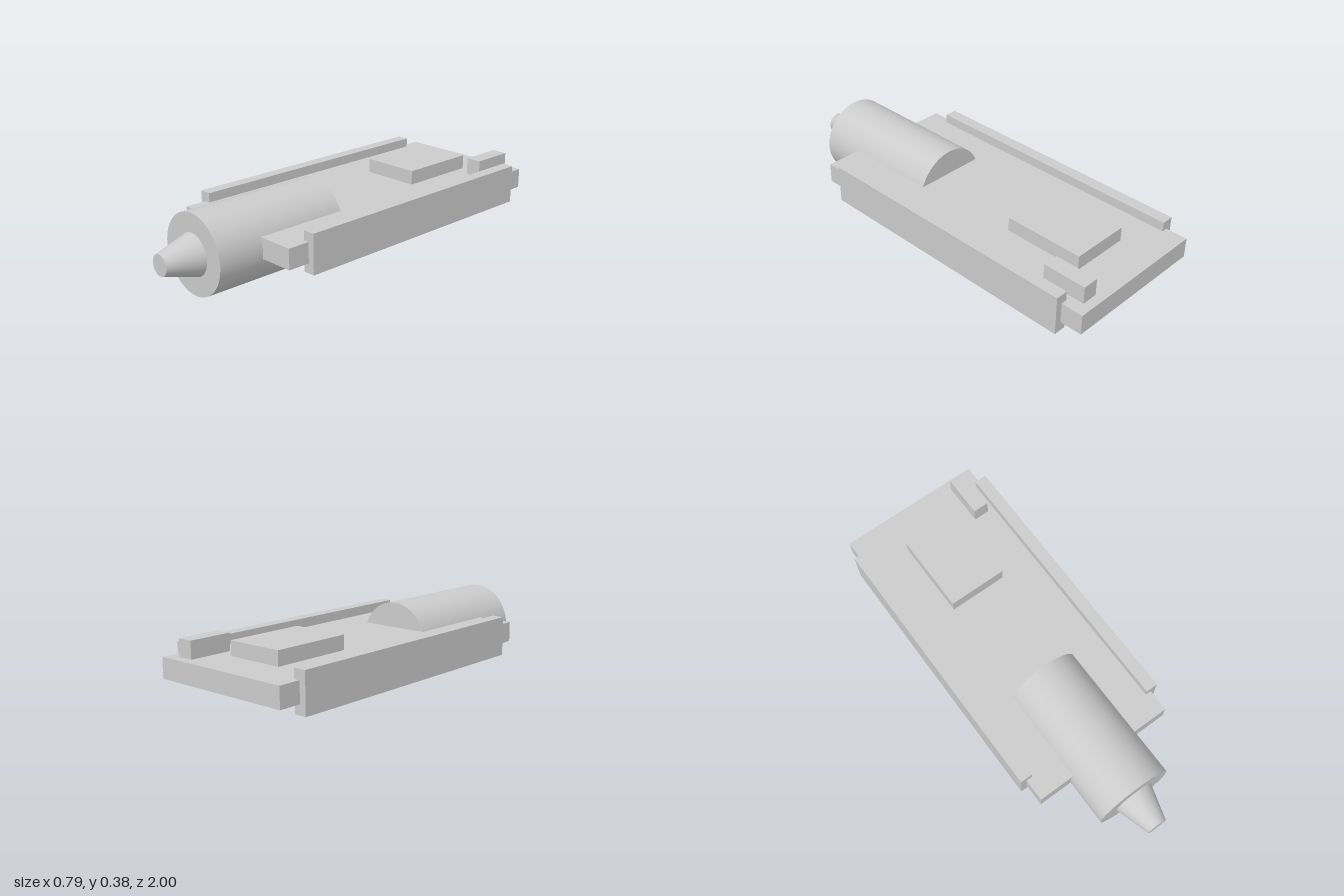
import * as THREE from 'three';

export function createModel() {
  const model = new THREE.Group();
  const material = new THREE.MeshStandardMaterial({ color: 0xcccccc });

  const add = (name, geometry, x, y, z) => {
    const mesh = new THREE.Mesh(geometry, material);
    mesh.name = name;
    mesh.position.set(x, y, z);
    model.add(mesh);
  };

  // Box given by its extents on each axis
  const box = (name, [x0, x1], [y0, y1], [z0, z1]) =>
    add(name, new THREE.BoxGeometry(x1 - x0, y1 - y0, z1 - z0),
      (x0 + x1) / 2, (y0 + y1) / 2, (z0 + z1) / 2);

  // Round part along z, from the back end to the front end
  const round = (name, backRadius, frontRadius, z0, z1) =>
    add(name, new THREE.CylinderGeometry(frontRadius, backRadius, z1 - z0, 64).rotateX(Math.PI / 2),
      0, 0.191, (z0 + z1) / 2);

  // Flat board with a side rail along each long edge
  box('board', [-0.362, 0.362], [0.162, 0.26], [-1, 0.6]);
  box('leftRail', [0.333, 0.393], [0.115, 0.306], [-0.892, 0.49]);
  box('rightRail', [-0.393, -0.333], [0.115, 0.306], [-0.892, 0.49]);

  // Raised parts on the top face
  box('chip', [-0.146, 0.146], [0.25, 0.33], [-0.8, -0.4]);
  box('switchBlock', [0.222, 0.3], [0.26, 0.343], [-0.955, -0.74]);

  // Barrel sunk through the board, with a tapered nozzle
  round('barrel', 0.191, 0.191, 0.125, 0.83);
  round('nozzle', 0.1, 0.05, 0.83, 1);

  return model;
}
